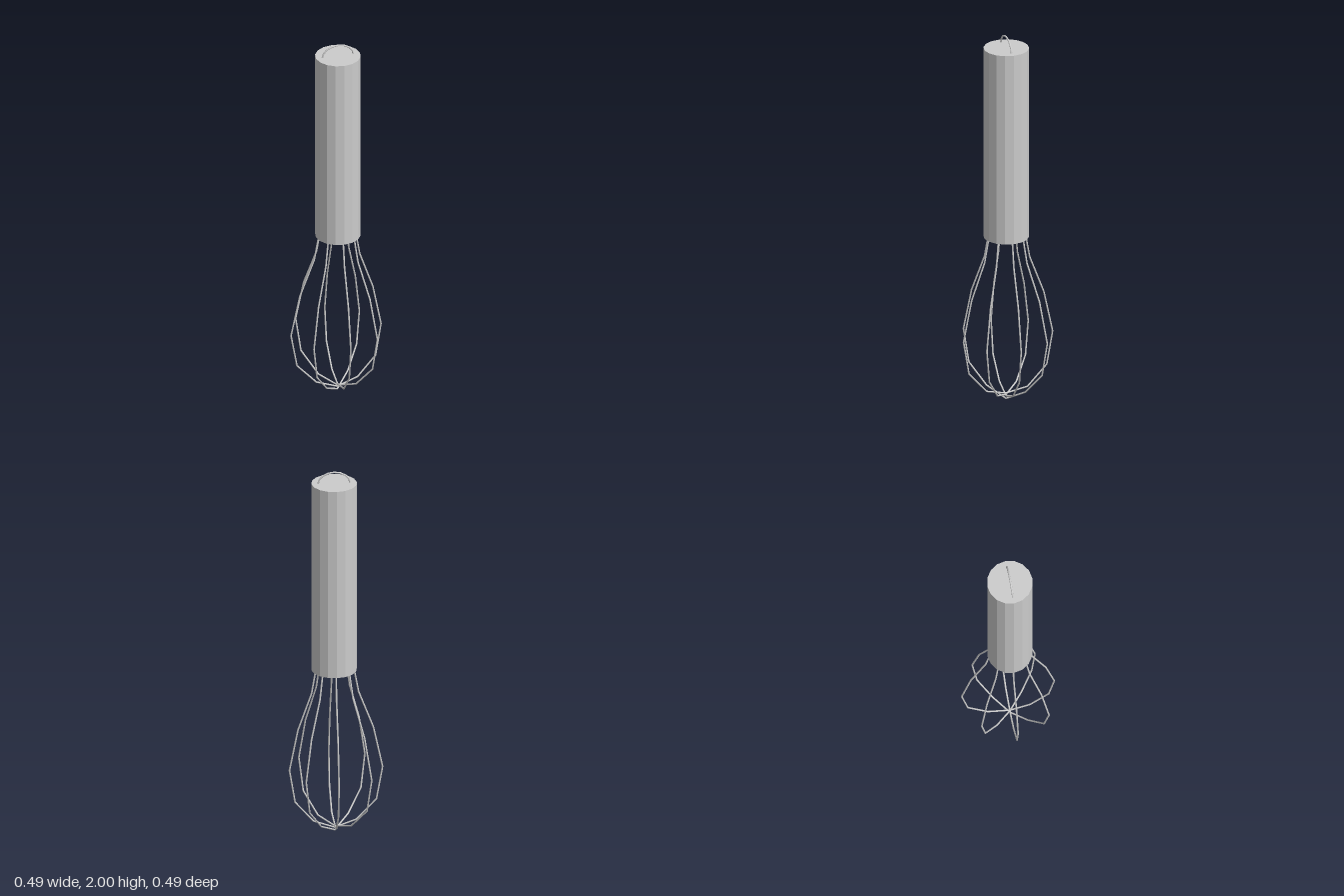
import * as THREE from 'three';

// Straight-segment path whose samples land exactly on its corner points
class Polyline extends THREE.Curve {
  constructor(points) {
    super();
    this.points = points;
  }
  getPoint(t, target = new THREE.Vector3()) {
    const n = this.points.length - 1;
    const s = THREE.MathUtils.clamp(t, 0, 1) * n;
    const i = Math.min(Math.floor(s), n - 1);
    return target.lerpVectors(this.points[i], this.points[i + 1], s - i);
  }
  getPointAt(u, target) { return this.getPoint(u, target); }
  getTangentAt(u, target) { return this.getTangent(u, target); }
}

const CX = 0.0075, CZ = 0.007; // axis of the handle
const WIRE = 0.0045;
const HANDLE_BOTTOM = 0.9, HANDLE_TOP = 1.936;

// Wire half profile: [fraction of the full reach, height]
const PROFILE = [
  [0.38, 0.93], [0.41, 0.9], [0.505, 0.77], [0.81, 0.57],
  [1, 0.348], [0.875, 0.17], [0.46, 0.06],
];

// Each hoop: the two outermost [x, z] points and its lowest height
const HOOPS = [
  { name: 'sideHoop', a: [-0.241, 0.003], b: [0.237, 0.006], low: 0.02 },
  { name: 'frontHoop', a: [0.011, -0.242], b: [0.008, 0.238], low: 0.036 },
  { name: 'diagonalHoopA', a: [-0.17, 0.177], b: [0.17, -0.158], low: 0.006 },
  { name: 'diagonalHoopB', a: [-0.165, -0.171], b: [0.17, 0.168], low: 0.028 },
];

export function createModel() {
  const group = new THREE.Group();
  const material = new THREE.MeshStandardMaterial({ color: 0xcccccc, flatShading: true });
  const wireMaterial = new THREE.MeshStandardMaterial({ color: 0xcccccc, side: THREE.DoubleSide });

  const addWire = (name, points) => {
    const geometry = new THREE.TubeGeometry(new Polyline(points), points.length - 1, WIRE, 8);
    const mesh = new THREE.Mesh(geometry, wireMaterial);
    mesh.name = name;
    group.add(mesh);
  };

  // Faceted handle
  const height = HANDLE_TOP - HANDLE_BOTTOM;
  const handle = new THREE.Mesh(new THREE.CylinderGeometry(0.117, 0.117, height, 16), material);
  handle.name = 'handle';
  handle.position.set(CX, HANDLE_BOTTOM + height / 2, CZ);
  group.add(handle);

  // Whisk hoops, down one side and up the other
  for (const { name, a, b, low } of HOOPS) {
    const side = (end) => PROFILE.map(([f, y]) => new THREE.Vector3(
      CX + (end[0] - CX) * f, y, CZ + (end[1] - CZ) * f));
    addWire(name, [...side(a), new THREE.Vector3(CX * 0.6, low, CZ), ...side(b).reverse()]);
  }

  // Hanging loop on top of the handle
  const loop = [];
  for (let i = 0; i <= 8; i++) {
    const t = Math.PI * (1 - i / 8);
    loop.push(new THREE.Vector3(CX + 0.083 * Math.cos(t), 1.932 + 0.0635 * Math.sin(t), CZ));
  }
  addWire('hangingLoop', loop);

  return group;
}
